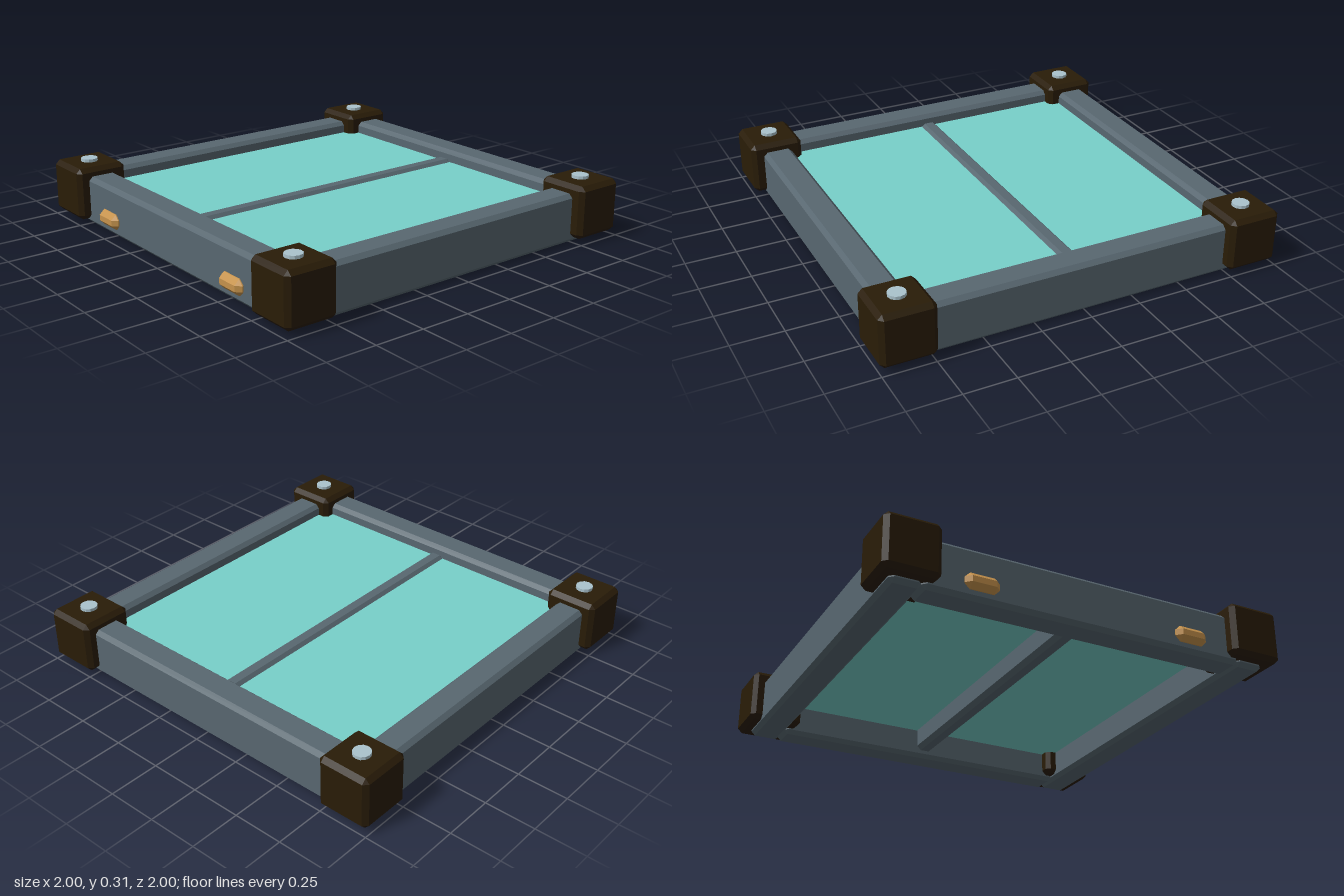
import * as THREE from 'three';
import { ConvexGeometry } from 'three/addons/geometries/ConvexGeometry.js';

const mat = (name, color) => {
  const m = new THREE.MeshStandardMaterial({ color });
  m.name = name;
  return m;
};

// Box with every edge cut by a flat chamfer c
function chamferBox(w, h, d, c) {
  const pts = [];
  for (const sx of [-1, 1]) for (const sy of [-1, 1]) for (const sz of [-1, 1]) {
    for (let face = 0; face < 3; face++) {
      const cut = [0, 1, 2].map((i) => (i === face ? 0 : c));
      pts.push(new THREE.Vector3(
        sx * (w / 2 - cut[0]), sy * (h / 2 - cut[1]), sz * (d / 2 - cut[2])));
    }
  }
  return new ConvexGeometry(pts);
}

export function createModel() {
  const model = new THREE.Group();
  model.name = 'framedPanel';

  const steel = mat('slateSteel', 0x586770);
  const brown = mat('darkBrown', 0x291c07);
  const glass = mat('tealGlass', 0x78d0ca);
  const amber = mat('amber', 0xc5924c);
  const bolt = mat('paleSteel', 0xaac3cd);

  const add = (name, geometry, material, x, y, z) => {
    const mesh = new THREE.Mesh(geometry, material);
    mesh.name = name;
    mesh.position.set(x, y, z);
    model.add(mesh);
    return mesh;
  };

  // Frame rails: full-length sides, front and back fitted between them
  const sideRail = chamferBox(0.15, 0.246, 1.87, 0.02);
  const crossRail = chamferBox(1.6, 0.246, 0.15, 0.02);
  add('leftRail', sideRail, steel, 0.865, 0.123, 0);
  add('rightRail', sideRail, steel, -0.869, 0.123, 0);
  add('frontRail', crossRail, steel, 0, 0.123, 0.867);
  add('backRail', crossRail, steel, 0, 0.123, -0.87);

  // Glass pane and the deep bar that divides it
  add('glassPane', new THREE.BoxGeometry(1.62, 0.035, 1.62), glass, 0, 0.167, 0);
  add('dividerBar', chamferBox(0.09, 0.165, 1.62, 0.022), steel, -0.007, 0.118, 0);

  // Corner blocks with a bolt on each
  const block = chamferBox(0.265, 0.263, 0.265, 0.022);
  const boltHead = new THREE.CylinderGeometry(0.042, 0.042, 0.03, 12).toNonIndexed();
  boltHead.computeVertexNormals();
  for (const x of [-0.8675, 0.8675]) {
    for (const z of [-0.8675, 0.8675]) {
      add('cornerBlock', block, brown, x, 0.158, z);
      add('cornerBolt', boltHead, bolt, x, 0.29, z);
    }
  }

  // Amber marker lights on the front rail
  const light = chamferBox(0.165, 0.078, 0.08, 0.025);
  for (const x of [-0.53, 0.53]) add('markerLight', light, amber, x, 0.081, 0.932);

  return model;
}
